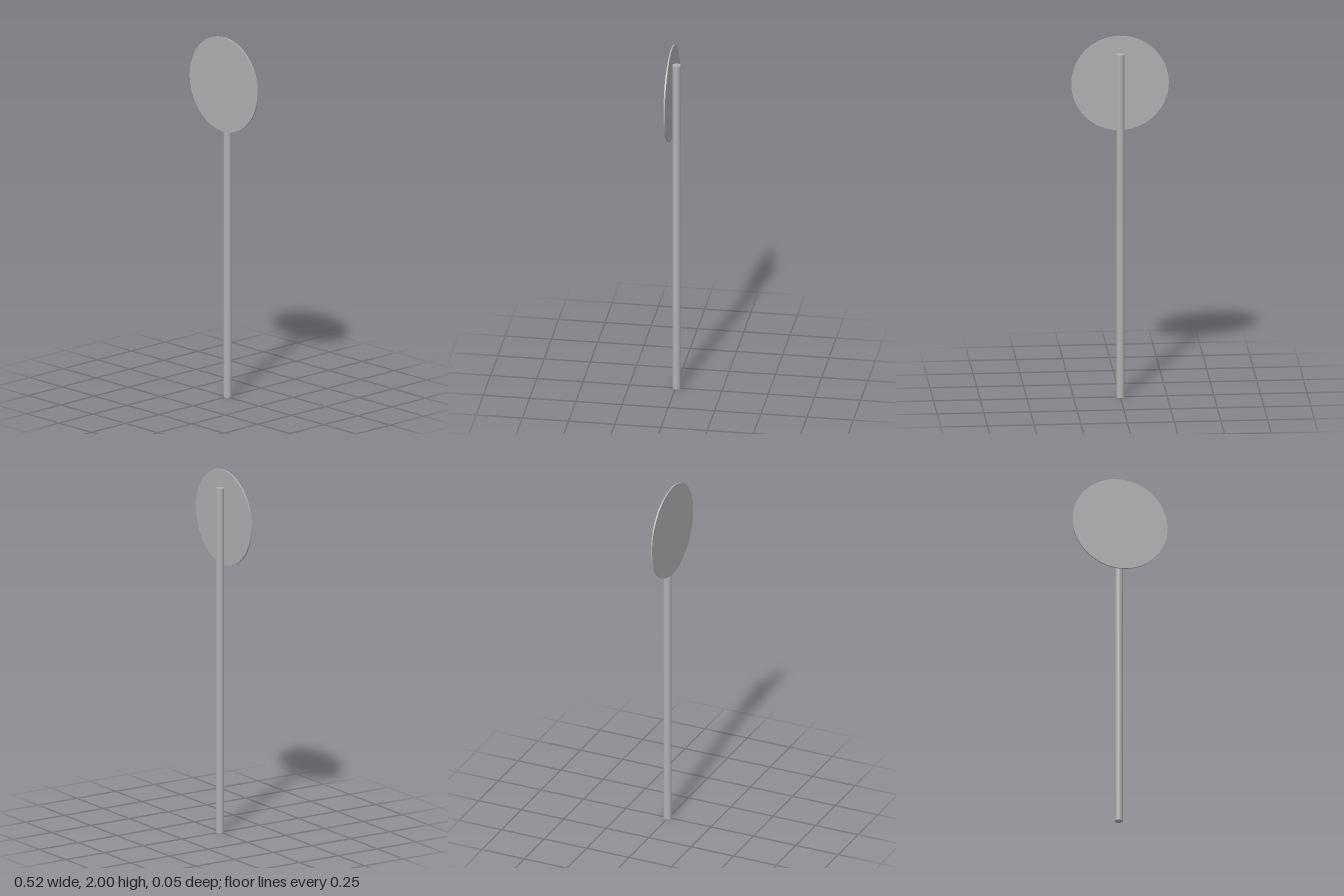
import * as THREE from 'three';

export function createModel() {
  const group = new THREE.Group();
  const grey = new THREE.MeshStandardMaterial({ color: 0xb0b0b0 });
  grey.name = 'metal grey';

  // Upright round post
  const postHeight = 1.905;
  const post = new THREE.Mesh(new THREE.CylinderGeometry(0.022, 0.022, postHeight, 48), grey);
  post.name = 'post';
  post.position.set(0, postHeight / 2, -0.005);

  // Thin round sign plate, fixed to the front of the post
  const radius = 0.261;
  const plate = new THREE.Mesh(new THREE.CylinderGeometry(radius, radius, 0.008, 96), grey);
  plate.name = 'signPlate';
  plate.rotation.x = Math.PI / 2;
  plate.position.set(0, 2 - radius, 0.021);

  group.add(post, plate);
  return group;
}
